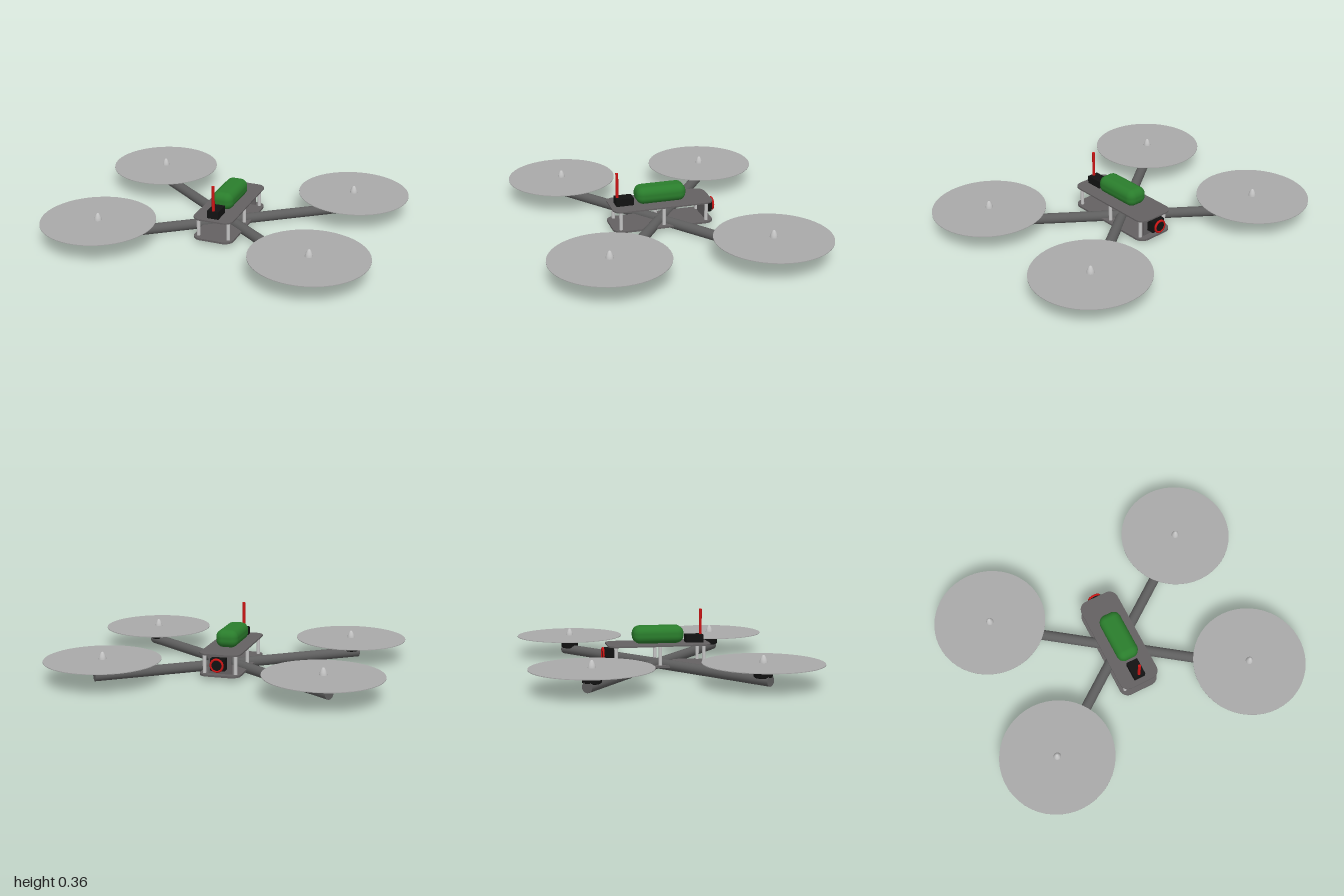
import * as THREE from 'three';
import { RoundedBoxGeometry } from 'three/addons/geometries/RoundedBoxGeometry.js';

function mat(name, color, side = THREE.FrontSide) {
  const m = new THREE.MeshStandardMaterial({ color, side });
  m.name = name;
  return m;
}

// Flat plate with rounded corners, lying in xz, bottom at y = 0
function plateGeometry(w, l, r, t) {
  const x = w / 2, y = l / 2, s = new THREE.Shape();
  s.moveTo(-x + r, -y);
  s.lineTo(x - r, -y);
  s.absarc(x - r, -y + r, r, -Math.PI / 2, 0);
  s.absarc(x - r, y - r, r, 0, Math.PI / 2);
  s.absarc(-x + r, y - r, r, Math.PI / 2, Math.PI);
  s.absarc(-x + r, -y + r, r, Math.PI, Math.PI * 1.5);
  const g = new THREE.ExtrudeGeometry(s, { depth: t, bevelEnabled: false, curveSegments: 8 });
  return g.rotateX(-Math.PI / 2);
}

const lathe = (pts, n) => new THREE.LatheGeometry(pts.map(p => new THREE.Vector2(...p)), n);

export function createModel() {
  const model = new THREE.Group();
  model.name = 'quadcopter';

  const carbon = mat('carbon grey', 0x646162);
  const armGrey = mat('arm grey', 0x5e5e5e);
  const black = mat('black', 0x121212);
  const silver = mat('silver', 0xc4c4c4);
  const discGrey = mat('propeller grey', 0xa9a9a9);
  const green = mat('battery green', 0x2a7d2c);
  const red = mat('red', 0xcc1414);

  function add(name, geo, material, x = 0, y = 0, z = 0, parent = model) {
    const m = new THREE.Mesh(geo, material);
    m.name = name;
    m.position.set(x, y, z);
    parent.add(m);
    return m;
  }

  // Frame plates
  add('bottomPlate', plateGeometry(0.25, 0.63, 0.055, 0.012), carbon, 0, 0.023, 0);
  add('topPlate', plateGeometry(0.25, 0.63, 0.055, 0.009), carbon, 0, 0.151, 0);

  // Standoffs between the plates
  const post = new THREE.CylinderGeometry(0.011, 0.011, 0.118, 12);
  for (const x of [-0.095, 0.095])
    for (const z of [-0.27, 0, 0.27]) add('standoff', post, silver, x, 0.093, z);

  // Arms with motors, spinners and propeller discs
  const armLength = 0.864, mx = 0.655, mz = 0.48;
  const armGeo = new THREE.CylinderGeometry(0.032, 0.032, armLength, 20)
    .rotateZ(Math.PI / 2).translate(armLength / 2, 0, 0);
  const motorGeo = lathe([[0, 0.045], [0.046, 0.045], [0.055, 0.052], [0.055, 0.096],
    [0.055, 0.096], [0.045, 0.111], [0.045, 0.111], [0, 0.111]], 24);
  const spinnerGeo = lathe([[0.023, 0.109], [0.023, 0.132], [0.019, 0.148], [0.012, 0.164],
    [0.006, 0.172], [0, 0.174]], 16);
  const discGeo = new THREE.CylinderGeometry(0.345, 0.345, 0.004, 48);
  for (const sx of [-1, 1]) {
    for (const sz of [-1, 1]) {
      const rotor = new THREE.Group();
      rotor.name = 'rotorArm';
      model.add(rotor);
      add('arm', armGeo, armGrey, 0, 0.032, 0, rotor).rotation.y = Math.atan2(-sz * mz, sx * mx);
      add('motor', motorGeo, black, sx * mx, 0, sz * mz, rotor);
      add('spinner', spinnerGeo, silver, sx * mx, 0, sz * mz, rotor);
      add('propellerDisc', discGeo, discGrey, sx * mx, 0.128, sz * mz, rotor);
    }
  }

  // Battery on top
  add('battery', new RoundedBoxGeometry(0.136, 0.107, 0.312, 6, 0.045), green, 0, 0.2135, 0);

  // Transmitter and antenna
  add('transmitter', new THREE.BoxGeometry(0.072, 0.047, 0.108), black, 0, 0.1835, 0.227);
  add('antenna', new THREE.CylinderGeometry(0.009, 0.009, 0.2, 12), red, 0, 0.263, 0.268);

  // Camera with its mount, facing backwards
  add('cameraMount', new THREE.BoxGeometry(0.14, 0.118, 0.008), carbon, 0, 0.093, -0.272);
  add('cameraBody', new THREE.BoxGeometry(0.088, 0.072, 0.05), black, 0, 0.1, -0.301);
  add('cameraLens', new THREE.CylinderGeometry(0.036, 0.036, 0.02, 24).rotateX(Math.PI / 2),
    black, 0, 0.1, -0.331);
  add('lensRing', new THREE.TorusGeometry(0.036, 0.007, 8, 28), red, 0, 0.1, -0.338);

  return model;
}
